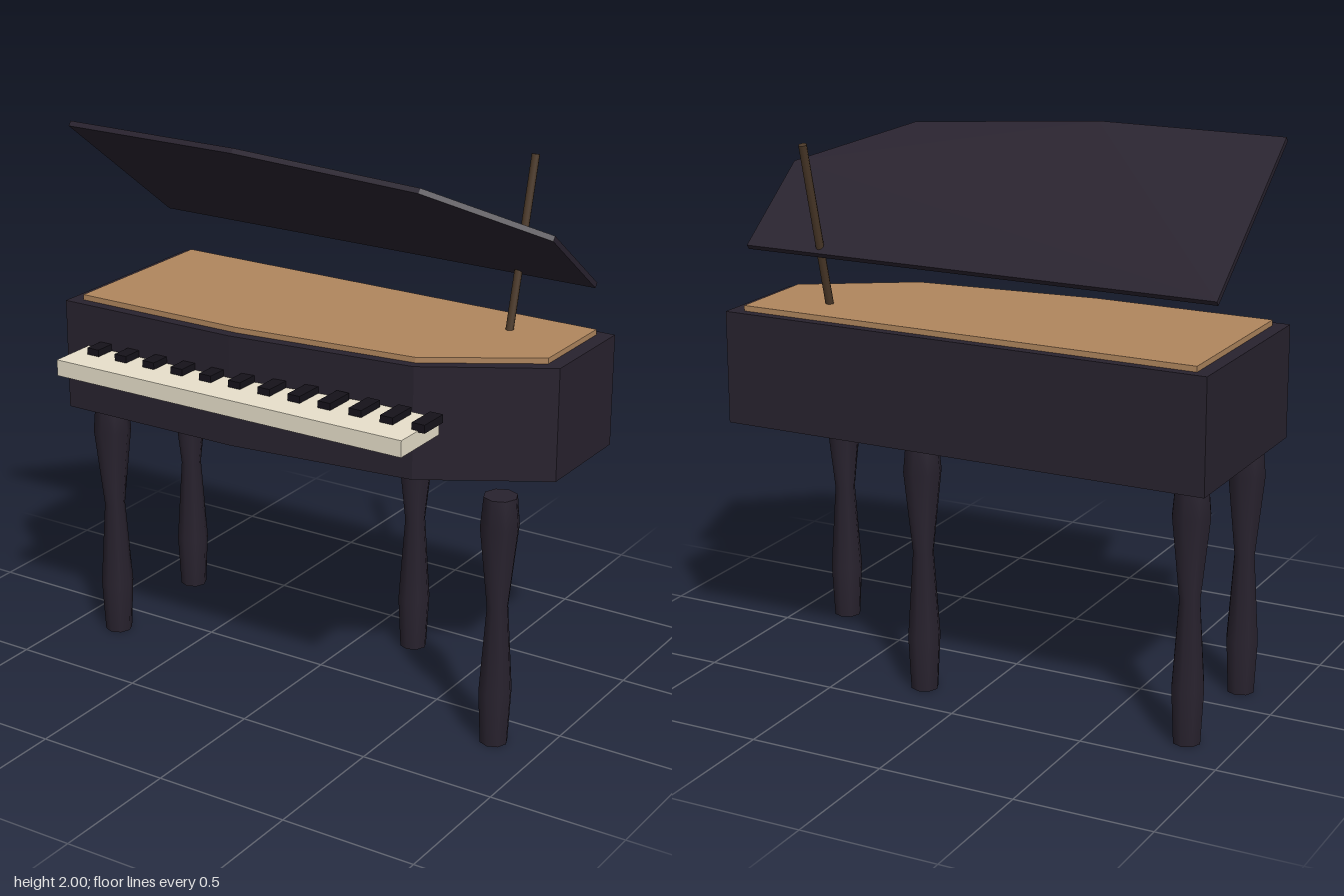
import * as THREE from 'three';

const paint = (color) => new THREE.MeshStandardMaterial({ color });

export function createModel() {
  const model = new THREE.Group();
  const lacquer = paint(0x28222e);
  const wood = paint(0xb0865e);
  const ivory = paint(0xe8e0cb);
  const ebony = paint(0x15121a);
  const walnut = paint(0x4a3828);

  function add(name, geometry, material, x = 0, y = 0, z = 0) {
    const mesh = new THREE.Mesh(geometry, material);
    mesh.name = name;
    mesh.position.set(x, y, z);
    model.add(mesh);
    return mesh;
  }

  // Flat slab from an outline of [x, z] points; its top lies at y = 0
  function slab(outline, thickness) {
    const shape = new THREE.Shape(outline.map(([x, z]) => new THREE.Vector2(x, z)));
    const geometry = new THREE.ExtrudeGeometry(shape, { depth: thickness, bevelEnabled: false });
    return geometry.rotateX(Math.PI / 2);
  }

  // Case with the angled front at the short side
  add('case', slab([
    [-0.92, -0.46], [0.92, -0.46], [0.92, -0.05], [0.5, 0.2], [-0.2, 0.28], [-0.92, 0.28],
  ], 0.41), lacquer, 0, 1.34);

  // Soundboard, inset from the case edge
  add('soundboard', slab([
    [-0.87, -0.425], [0.865, -0.425], [0.865, -0.07], [0.485, 0.165], [-0.2, 0.24], [-0.87, 0.24],
  ], 0.03), wood, 0, 1.36);

  // Raised lid, tilted up towards the front
  const lid = add('lid', slab([
    [-0.9, 0], [0.9, 0], [0.9, 0.41], [0.5, 0.65], [-0.2, 0.73], [-0.9, 0.73],
  ], 0.02).translate(0, 0.01, 0), lacquer, 0, 1.55, -0.337);
  lid.rotation.x = -0.65;

  // Prop stick
  const prop = add('propStick', new THREE.CylinderGeometry(0.015, 0.015, 0.625, 8), walnut, 0.612, 1.65, -0.335);
  prop.rotation.x = -0.25;

  // Keyboard with its raised dark keys
  add('keyboard', new THREE.BoxGeometry(1.435, 0.06, 0.245), ivory, -0.105, 1.155, 0.34);
  const keyShape = new THREE.BoxGeometry(0.05, 0.03, 0.12);
  for (let i = 0; i < 12; i++) {
    add('darkKey', keyShape, ebony, -0.742 + i * 0.1232, 1.195, 0.297);
  }

  // Turned legs
  const profile = [
    [0, 0], [0.05, 0], [0.05, 0], [0.06, 0.2], [0.038, 0.52],
    [0.07, 0.82], [0.06, 0.93], [0.06, 0.93], [0, 0.93],
  ].map(([r, y]) => new THREE.Vector2(r, y));
  // The side and each end cap are turned separately to keep the rims sharp
  const turned = [profile.slice(0, 2), profile.slice(2, 7), profile.slice(7)]
    .map((points) => new THREE.LatheGeometry(points, 8));
  for (const [x, z] of [[-0.825, 0.155], [0.82, 0.155], [-0.825, -0.335], [0.2, -0.335]]) {
    const leg = new THREE.Group();
    leg.name = 'leg';
    leg.position.set(x, 0, z);
    turned.forEach((geometry) => leg.add(new THREE.Mesh(geometry, lacquer)));
    model.add(leg);
  }

  return model;
}
